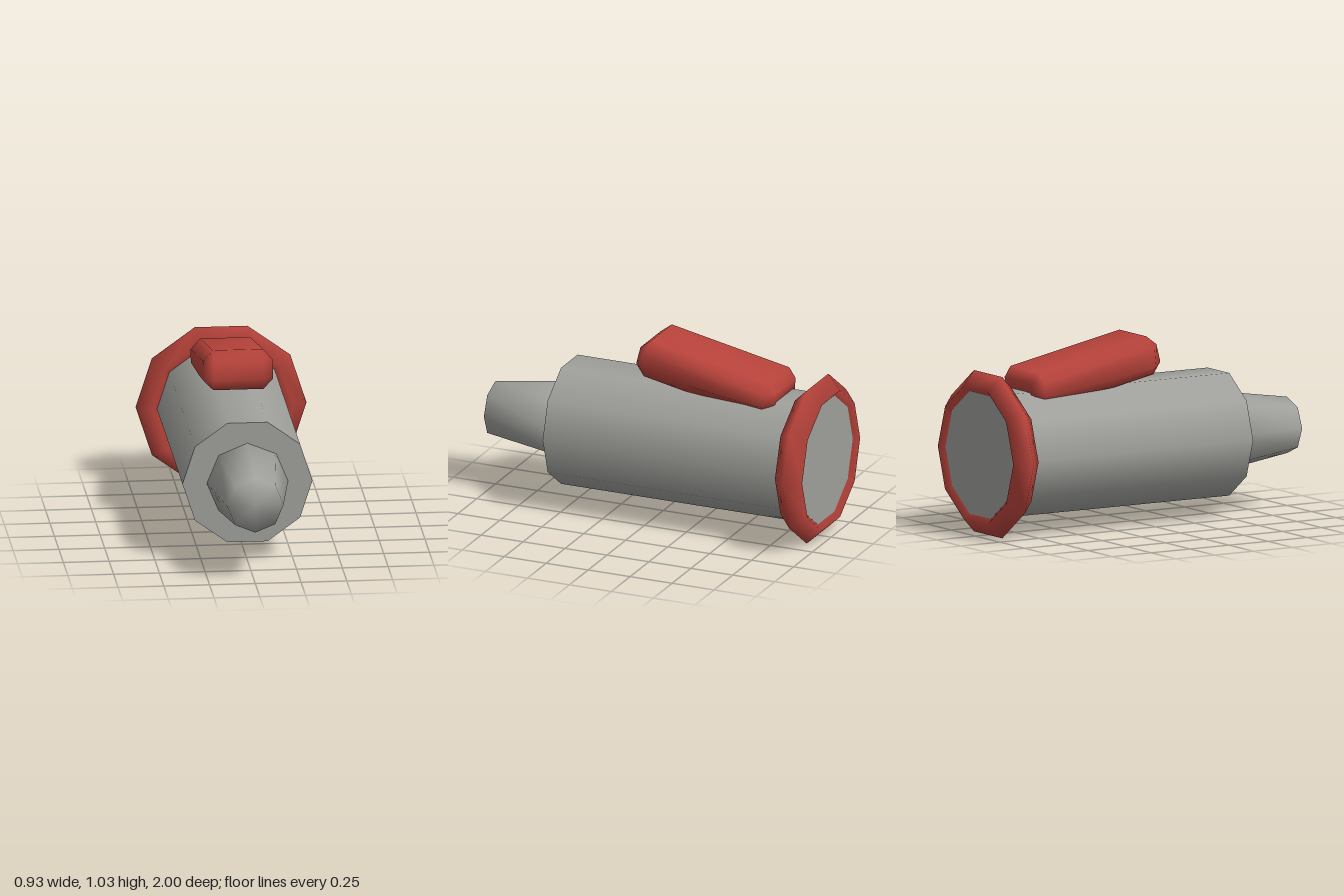
import * as THREE from 'three';
import { mergeVertices } from 'three/addons/utils/BufferGeometryUtils.js';

const grey = new THREE.MeshStandardMaterial({ name: 'grey metal', color: 0xa0a09c });
const red = new THREE.MeshStandardMaterial({ name: 'red plastic', color: 0xb8433b });

const AXIS_Y = 0.444;

// Shares vertices across every edge so the whole part shades softly
function soften(geometry) {
  geometry.deleteAttribute('normal');
  geometry.deleteAttribute('uv');
  const merged = mergeVertices(geometry);
  merged.computeVertexNormals();
  return merged;
}

// Tapered cylinder lying along z, from zBack to zFront
function barrel(rFront, rBack, zBack, zFront, sides) {
  const g = new THREE.CylinderGeometry(rFront, rBack, zFront - zBack, sides, 1, false, Math.PI / 2);
  return g.rotateX(Math.PI / 2).translate(0, 0, (zFront + zBack) / 2);
}

// Bevelled block: a (z, y) outline swept across x, shrinking to a smaller side face
function clipGeometry() {
  const outline = [
    [0.075, 0.985], [0.01, 1.033], [-0.69, 0.892], [-0.727, 0.835], [-0.722, 0.77],
    [-0.65, 0.73], [-0.2, 0.768], [0.055, 0.82], [0.1, 0.887],
  ];
  // Each bevelled corner of the outline closes to one corner of the side face
  const [topFront, topBack, lowBack, lowMid, lowFront] = [
    [0.03, 0.978], [-0.675, 0.838], [-0.665, 0.765], [-0.2, 0.83], [0.04, 0.872],
  ];
  const side = [topFront, topFront, topBack, topBack, lowBack, lowBack, lowMid, lowFront, lowFront];
  const sections = [[-0.19, side], [-0.137, outline], [0.137, outline], [0.19, side]];
  const n = outline.length;
  const positions = [];
  const index = [];
  for (const [x, points] of sections) {
    for (const [z, y] of points) positions.push(x, y, z);
  }
  for (let i = 0; i < sections.length - 1; i++) {
    for (let j = 0; j < n; j++) {
      const k = (j + 1) % n;
      const a = i * n + j, b = i * n + k, c = b + n, d = a + n;
      index.push(a, d, c, a, c, b);
    }
  }
  const last = (sections.length - 1) * n;
  for (let j = 1; j < n - 1; j++) {
    index.push(0, j, j + 1);
    index.push(last, last + j + 1, last + j);
  }
  const g = new THREE.BufferGeometry();
  g.setAttribute('position', new THREE.Float32BufferAttribute(positions, 3));
  g.setIndex(index);
  return soften(g);
}

export function createModel() {
  const model = new THREE.Group();
  const add = (name, geometry, material, y = 0, z = 0) => {
    const mesh = new THREE.Mesh(geometry, material);
    mesh.name = name;
    mesh.position.set(0, y, z);
    model.add(mesh);
  };

  // Ten-sided main barrel and eight-sided tapered tip
  add('body', barrel(0.355, 0.355, -0.97, 0.56, 10), grey, AXIS_Y);
  add('tip', soften(barrel(0.155, 0.222, 0.56, 1, 8)), grey, AXIS_Y);

  // Diamond-section ring around the back end
  add('endRing', new THREE.TorusGeometry(0.386, 0.081, 4, 10), red, AXIS_Y, -0.919);

  // Sloping clip on top
  add('clip', clipGeometry(), red);

  return model;
}
